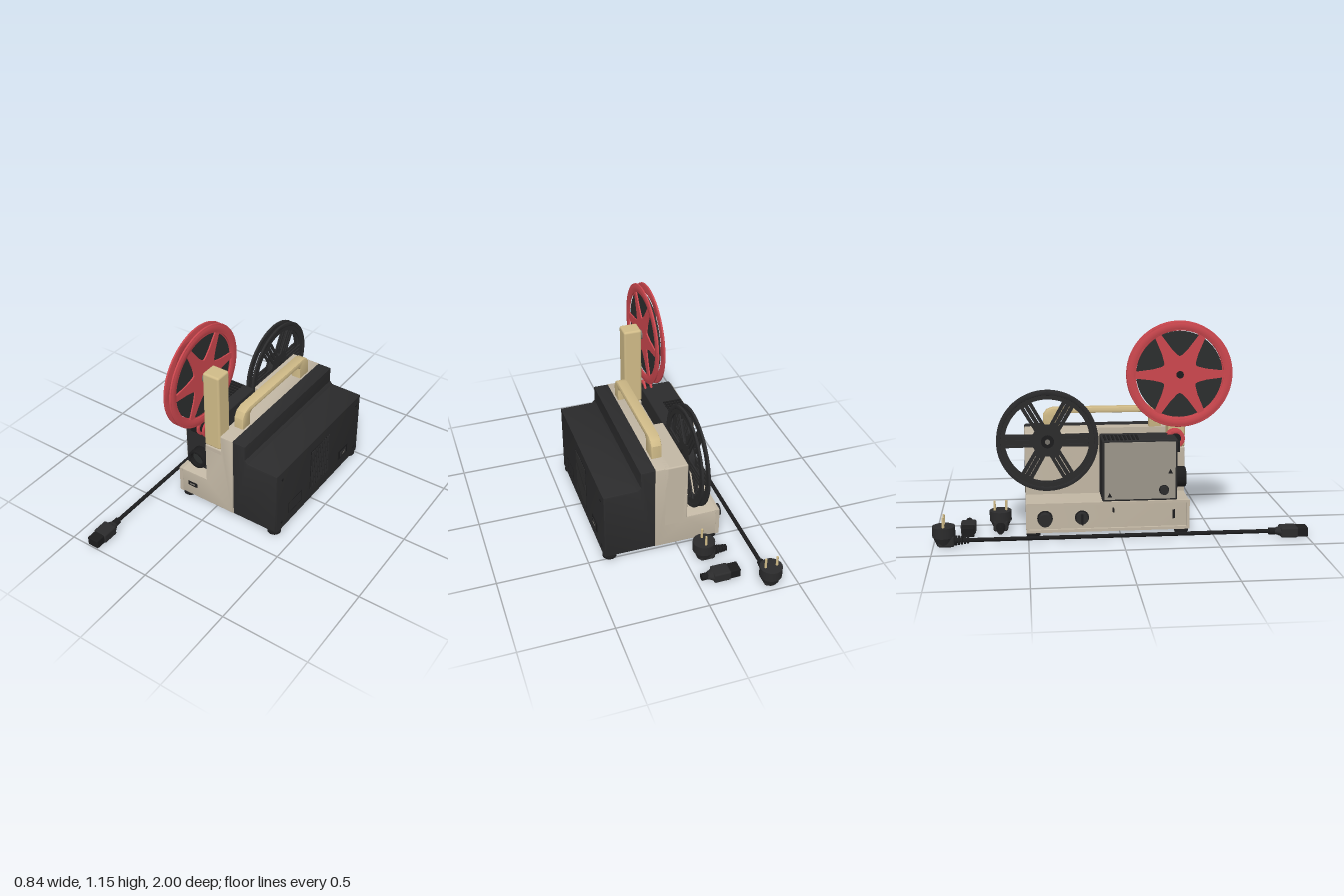
import * as THREE from 'three';
import { RoundedBoxGeometry } from 'three/addons/geometries/RoundedBoxGeometry.js';
import { toCreasedNormals } from 'three/addons/utils/BufferGeometryUtils.js';

export function createModel() {
  const root = new THREE.Group();
  root.name = 'filmProjector';
  const mat = (name, color) => Object.assign(new THREE.MeshStandardMaterial({ color }), { name });
  const black = mat('housing black', 0x2b2b2c), dark = mat('deep black', 0x1c1c1d);
  const beige = mat('body beige', 0xc2b7a4), grey = mat('panel grey', 0x9c968a);
  const tan = mat('handle tan', 0xd0bb88), red = mat('reel red', 0xcc474e);
  const film = mat('film charcoal', 0x2c2e2e), metal = mat('screw metal', 0x77736c);

  const add = (name, geo, material, parent = root) => {
    const m = new THREE.Mesh(geo, material);
    m.name = name;
    parent.add(m);
    return m;
  };
  // Box given by its limits, optionally rounded
  const box = (name, material, [x0, x1], [y0, y1], [z0, z1], r = 0, parent = root) => {
    const s = [x1 - x0, y1 - y0, z1 - z0];
    const m = add(name, r ? new RoundedBoxGeometry(...s, 3, r) : new THREE.BoxGeometry(...s), material, parent);
    m.position.set((x0 + x1) / 2, (y0 + y1) / 2, (z0 + z1) / 2);
    return m;
  };
  // Cylinder along an axis, from a to b on that axis
  const cyl = (name, material, axis, r, a, b, [x, y, z], parent = root, r2 = r, seg = 32) => {
    const g = new THREE.CylinderGeometry(r2, r, b - a, seg);
    if (axis === 'x') g.rotateZ(-Math.PI / 2);
    if (axis === 'z') g.rotateX(Math.PI / 2);
    const m = add(name, g, material, parent);
    m.position.set(x, y, z);
    m.position[axis] = (a + b) / 2;
    return m;
  };
  const poly = pts => new THREE.Shape(pts.map(p => new THREE.Vector2(...p)));
  const extrude = (shape, len, b) => {
    const g = new THREE.ExtrudeGeometry(shape, {
      depth: len - 2 * b, bevelEnabled: b > 0, bevelSize: b, bevelOffset: -b,
      bevelThickness: b, bevelSegments: 2, curveSegments: 48,
    });
    g.translate(0, 0, b);
    return toCreasedNormals(g, 0.6);
  };
  const alongZ = (name, material, shape, z0, z1, b = 0) =>
    add(name, extrude(shape, z1 - z0, b).translate(0, 0, z0), material);
  // Shape drawn in (z, y), swept along x
  const alongX = (name, material, shape, x0, x1, b = 0, parent = root) =>
    add(name, extrude(shape, x1 - x0, b).rotateY(-Math.PI / 2).translate(x1, 0, 0), material, parent);

  // Main housing
  alongZ('housing', black, poly([[0.125, 0.022], [0.412, 0.022], [0.412, 0.425], [0.225, 0.428],
    [0.208, 0.445], [0.208, 0.535], [0.125, 0.535]]), -0.512, 0.378, 0.012);
  alongZ('bodyShell', beige, poly([[-0.226, 0.022], [0.126, 0.022], [0.126, 0.535], [0.048, 0.535],
    [0.048, 0.415], [-0.055, 0.415], [-0.055, 0.186], [-0.226, 0.186]]), -0.512, 0.378, 0.008);
  box('rearShell', beige, [-0.055, 0.08], [0.15, 0.535], [-0.512, -0.1], 0.008);
  box('armSeat', beige, [-0.055, 0.055], [0.4, 0.44], [0.275, 0.377], 0.008);
  const frame = poly([[-0.512, 0.022], [0.378, 0.022], [0.378, 0.186], [-0.512, 0.186]]);
  frame.holes.push(poly([[-0.495, 0.038], [-0.495, 0.172], [0.362, 0.172], [0.362, 0.038]]));
  alongX('controlFrame', beige, frame, -0.242, -0.22);
  box('controlSlot', dark, [-0.23, -0.224], [0.08, 0.13], [0.285, 0.3]);
  box('frontSocket', dark, [-0.18, -0.12], [0.09, 0.118], [0.374, 0.381]);
  box('frontSocketKey', metal, [-0.168, -0.135], [0.1, 0.108], [0.378, 0.384]);
  box('bottomPlate', dark, [-0.2, -0.02], [0.014, 0.023], [-0.2, 0.3]);

  // Feet
  for (const x of [-0.2, 0.375]) for (const z of [0.338, -0.472]) {
    cyl('footPad', dark, 'y', 0.038, 0, 0.011, [x, 0, z]);
    cyl('footStem', dark, 'y', 0.02, 0.01, 0.025, [x, 0, z]);
  }

  // Lamp house with side plate, top vents and lens
  box('lampHouse', black, [-0.236, -0.055], [0.186, 0.525], [-0.1, 0.31], 0.008);
  box('lampHousePlate', grey, [-0.243, -0.235], [0.198, 0.513], [-0.088, 0.298]);
  for (let i = 0; i < 9; i++)
    box('topVentSlat', dark, [-0.232, -0.125], [0.52, 0.53], [-0.088 + i * 0.022, -0.076 + i * 0.022]);
  for (const [z, y] of [[-0.06, 0.225], [0.27, 0.35]])
    alongX('plateMark', dark, poly([[z - 0.012, y - 0.012], [z + 0.012, y - 0.012], [z, y + 0.012]]), -0.247, -0.24);
  const ring = (r0, r1) => {
    const s = new THREE.Shape().absarc(0, 0, r1, 0, Math.PI * 2);
    s.holes.push(new THREE.Path().absarc(0, 0, r0, 0, Math.PI * 2, true));
    return s;
  };
  alongZ('lensBarrel', dark, ring(0.04, 0.056), 0.3, 0.37, 0.004).position.set(-0.125, 0.288, 0);
  cyl('lensGlass', film, 'z', 0.041, 0.3, 0.345, [-0.125, 0.288, 0]);
  box('filmGate', dark, [-0.19, -0.14], [0.44, 0.5], [0.3, 0.33], 0.005);

  // Control knobs
  const knob = (y, z, r, x0, x1) => {
    cyl('knobSkirt', dark, 'x', r, x1 - 0.012, x1, [0, y, z]);
    cyl('knobGrip', black, 'x', r * 0.85, x0, x1 - 0.01, [0, y, z], root, r * 0.9, 12);
  };
  knob(0.1, -0.41, 0.042, -0.28, -0.225);
  knob(0.1, -0.21, 0.038, -0.262, -0.225);
  box('switchBlade', dark, [-0.28, -0.25], [0.07, 0.13], [-0.214, -0.206]);
  knob(0.247, 0.235, 0.027, -0.27, -0.238);
  box('lampLever', dark, [-0.258, -0.23], [0.13, 0.15], [-0.044, -0.036]);

  // Reel arm and carry handle
  box('reelArm', tan, [-0.057, 0.046], [0.44, 0.91], [0.282, 0.378], 0.012);
  alongX('carryHandle', tan, poly([[-0.405, 0.53], [-0.405, 0.61], [-0.385, 0.637], [-0.35, 0.65], [0.2, 0.65],
    [0.24, 0.635], [0.26, 0.6], [0.26, 0.53], [0.19, 0.53], [0.19, 0.6], [0.17, 0.618],
    [-0.295, 0.618], [-0.315, 0.6], [-0.315, 0.53]]), 0.057, 0.116, 0.007);

  // Reels: flanges are drawn around the origin and set in a group
  const polar = (r, a) => [r * Math.cos(a), r * Math.sin(a)];
  const reel = (name, y, z) => {
    const g = new THREE.Group();
    g.name = name;
    g.position.set(-0.095, y, z);
    root.add(g);
    return g;
  };
  const front = reel('supplyReel', 0.856, 0.335);
  const star = [];
  for (let i = 0; i < 6; i++) {
    const a = i * Math.PI / 3;
    star.push(polar(0.15, a - 0.2), polar(0.25, a - 0.07), polar(0.25, a + 0.07), polar(0.15, a + 0.2),
      polar(0.108, a + 0.4), polar(0.1, a + Math.PI / 6), polar(0.108, a + Math.PI / 3 - 0.4));
  }
  for (const x of [-0.018, 0.018]) {
    alongX('flangeRim', red, ring(0.24, 0.29), x - 0.005, x + 0.005, 0.003, front);
    alongX('flangeStar', red, poly(star), x - 0.004, x + 0.004, 0, front);
    const bead = add('rimBead', new THREE.TorusGeometry(0.265, 0.02, 8, 64).rotateY(Math.PI / 2), red, front);
    bead.scale.x = 0.25;
    bead.position.x = x * 1.12;
  }
  cyl('filmRoll', film, 'x', 0.235, -0.013, 0.013, [0, 0, 0], front, 0.235, 64);
  cyl('spindle', dark, 'x', 0.02, -0.03, 0.04, [0, 0, 0], front);
  cyl('spindleCollar', metal, 'x', 0.028, 0.024, 0.032, [0, 0, 0], front);

  // Red film guide under the front reel
  const guide = reel('filmGuide', 0.5, 0.315);
  for (const x of [-0.018, 0.018])
    alongX('guideRing', red, ring(0.03, 0.052), x - 0.006, x + 0.006, 0.002, guide);
  cyl('guideRoller', dark, 'x', 0.034, -0.022, 0.04, [0, 0, 0], guide);

  const back = reel('takeUpReel', 0.5, -0.388);
  const disc = new THREE.Shape().absarc(0, 0, 0.278, 0, Math.PI * 2);
  for (let i = 0; i < 6; i++) {
    const a = i * Math.PI / 3, m = a + Math.PI / 6;
    const arc = [];
    for (let k = 0; k <= 8; k++) arc.push(polar(0.232, m - 0.38 + k * 0.095));
    disc.holes.push(poly([polar(0.085, m - 0.15), ...arc, polar(0.085, m + 0.15)]));
    // Pair of slots in every spoke
    for (const o of [-0.013, 0.013]) {
      const at = (r, s) => [r * Math.cos(a) - s * Math.sin(a), r * Math.sin(a) + s * Math.cos(a)];
      disc.holes.push(poly([at(0.1, o - 0.004), at(0.225, o - 0.004), at(0.225, o + 0.004), at(0.1, o + 0.004)]));
    }
  }
  for (const x of [-0.018, 0.018]) {
    alongX('flange', black, disc, x - 0.004, x + 0.004, 0, back);
    alongX('flangeRim', black, ring(0.255, 0.278), x - 0.006, x + 0.006, 0.002, back);
  }
  cyl('hub', black, 'x', 0.075, -0.016, 0.016, [0, 0, 0], back);
  cyl('hubCap', dark, 'x', 0.035, -0.036, 0.036, [0, 0, 0], back);
  cyl('spindle', metal, 'x', 0.014, -0.042, 0.045, [0, 0, 0], back);

  // Right side: vent slats, mains socket, cover outline and screws
  box('ventPanel', dark, [0.408, 0.414], [0.095, 0.365], [-0.165, 0.035]);
  for (let i = 0; i < 10; i++)
    box('ventSlat', black, [0.41, 0.418], [0.098, 0.362], [-0.162 + i * 0.02, -0.15 + i * 0.02]);
  box('mainsSocket', dark, [0.408, 0.416], [0.092, 0.15], [-0.38, -0.28]);
  box('socketInsert', black, [0.412, 0.419], [0.102, 0.138], [-0.362, -0.298]);
  for (const z of [-0.345, -0.33, -0.315]) box('socketPin', metal, [0.415, 0.421], [0.115, 0.125], [z - 0.002, z + 0.002]);
  const cover = poly([[0.12, 0.08], [0.255, 0.08], [0.255, 0.155], [0.12, 0.155]]);
  cover.holes.push(poly([[0.123, 0.083], [0.123, 0.152], [0.252, 0.152], [0.252, 0.083]]));
  alongX('coverOutline', dark, cover, 0.408, 0.4135);
  for (const z of [-0.46, 0.325]) for (const y of [0.07, 0.375])
    cyl('screw', dark, 'x', 0.008, 0.408, 0.415, [0, y, z], root, 0.008, 12);
  box('housingSeam', dark, [0.2, 0.2095], [0.438, 0.442], [-0.5, 0.366]);

  // Mains plug: pins up, cord leaving along +z
  const plug = (x, z, turn) => {
    const g = new THREE.Group();
    g.name = 'mainsPlug';
    g.position.set(x, 0, z);
    g.rotation.y = turn;
    root.add(g);
    cyl('plugFace', black, 'y', 0.06, 0.06, 0.115, [0, 0, 0], g);
    cyl('plugNeck', black, 'y', 0.036, 0.01, 0.062, [0, 0, 0], g, 0.058);
    box('plugGrip', black, [-0.04, 0.04], [0.008, 0.07], [-0.03, 0.055], 0.012, g);
    for (const px of [-0.032, 0.032]) cyl('plugPin', tan, 'y', 0.007, 0.11, 0.17, [px, 0, 0], g, 0.006, 16);
    for (let i = 0; i < 5; i++)
      cyl('strainRelief', dark, 'z', 0.026 - i * 0.002, 0.055 + i * 0.016, 0.066 + i * 0.016, [0, 0.035, 0], g);
    cyl('cordStub', dark, 'z', 0.013, 0.04, 0.132, [0, 0.035, 0], g);
  };
  plug(-0.36, -0.942, 0);
  plug(-0.1, -0.65, -Math.PI / 2);

  // Appliance connector, nose toward +z
  const connector = (x, z, turn) => {
    const g = new THREE.Group();
    g.name = 'cordConnector';
    g.position.set(x, 0, z);
    g.rotation.y = turn;
    root.add(g);
    box('connectorNose', dark, [-0.034, 0.034], [0.006, 0.058], [0.04, 0.105], 0.006, g);
    box('connectorBody', black, [-0.041, 0.041], [0.004, 0.061], [-0.045, 0.05], 0.01, g);
    const neck = cyl('connectorNeck', black, 'z', 0.041, -0.075, -0.04, [0, 0.033, 0], g, 0.041);
    neck.geometry = new THREE.CylinderGeometry(0.04, 0.02, 0.035, 24).rotateX(Math.PI / 2);
    neck.scale.y = 0.68;
    cyl('connectorRelief', dark, 'z', 0.019, -0.105, -0.07, [0, 0.033, 0], g);
  };
  connector(-0.36, 0.895, 0);
  connector(-0.125, -0.825, -Math.PI / 2);
  cyl('powerCord', dark, 'z', 0.011, -0.85, 0.82, [-0.36, 0.034, 0]);
  return root;
}
